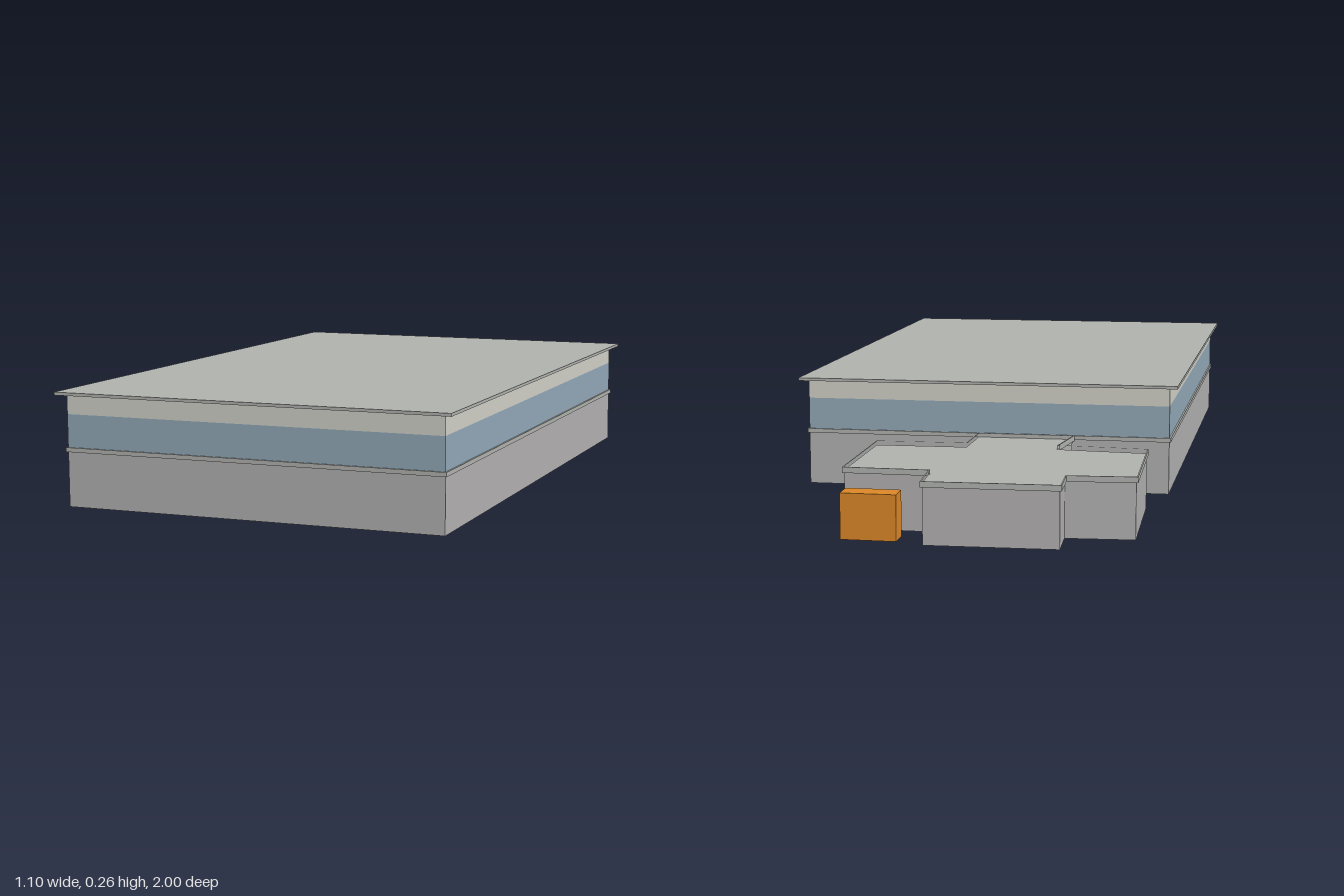
import * as THREE from 'three';

const mat = (name, color, side = THREE.FrontSide) => {
  const m = new THREE.MeshStandardMaterial({ color, side });
  m.name = name;
  return m;
};

// Moves a plan outline [x, z] outward by d, keeping its edges parallel.
function offset(pts, d) {
  const n = pts.length;
  const normal = (a, b) => new THREE.Vector2(b[1] - a[1], a[0] - b[0]).normalize();
  return pts.map((p, i) => {
    const n1 = normal(pts[(i + n - 1) % n], p);
    const n2 = normal(p, pts[(i + 1) % n]);
    const k = d / (1 + n1.dot(n2));
    return [p[0] + (n1.x + n2.x) * k, p[1] + (n1.y + n2.y) * k];
  });
}

// Upright wall sheets along a plan outline; skip leaves one edge open.
function walls(name, pts, y0, y1, material, skip = -1, closed = true) {
  const pos = [];
  const count = closed ? pts.length : pts.length - 1;
  for (let i = 0; i < count; i++) {
    if (i === skip) continue;
    const [ax, az] = pts[i];
    const [bx, bz] = pts[(i + 1) % pts.length];
    pos.push(bx, y0, bz, ax, y0, az, ax, y1, az);
    pos.push(bx, y0, bz, ax, y1, az, bx, y1, bz);
  }
  const geo = new THREE.BufferGeometry();
  geo.setAttribute('position', new THREE.Float32BufferAttribute(pos, 3));
  geo.computeVertexNormals();
  const mesh = new THREE.Mesh(geo, material);
  mesh.name = name;
  return mesh;
}

// Flat slab over a plan outline, with an optional opening.
function slab(name, pts, y0, y1, material, hole) {
  const plan = (list) => list.map(([x, z]) => new THREE.Vector2(x, -z));
  const shape = new THREE.Shape(plan(pts));
  if (hole) shape.holes.push(new THREE.Path(plan(hole)));
  const geo = new THREE.ExtrudeGeometry(shape, { depth: y1 - y0, bevelEnabled: false });
  geo.rotateX(-Math.PI / 2);
  geo.translate(0, y0, 0);
  const mesh = new THREE.Mesh(geo, material);
  mesh.name = name;
  return mesh;
}

export function createModel() {
  const grey = mat('wall grey', 0xb2b0b0, THREE.DoubleSide);
  const glass = mat('window blue', 0x92a8b7, THREE.DoubleSide);
  const cream = mat('upper wall cream', 0xd0d0c7, THREE.DoubleSide);
  const roof = mat('roof grey', 0xb0b2ae);
  const orange = mat('shed orange', 0xdb8728, THREE.DoubleSide);

  const model = new THREE.Group();
  model.name = 'building';

  // Main hall: grey base, window band, cream band and overhanging roof
  const hallPlan = [[-0.511, -0.342], [0.352, -0.47], [0.525, 0.841], [-0.352, 0.977]];
  const hall = new THREE.Group();
  hall.name = 'mainHall';
  hall.add(
    walls('hallLowerWalls', hallPlan, 0, 0.135, grey),
    slab('hallFloorSlab', offset(hallPlan, 0.004), 0.125, 0.135, roof),
    walls('hallWindowBand', hallPlan, 0.135, 0.21, glass),
    walls('hallUpperWalls', hallPlan, 0.21, 0.254, cream),
    slab('hallRoof', offset(hallPlan, 0.02), 0.254, 0.261, roof),
  );
  model.add(hall);

  // Low rear annex with a link to the hall and a thin raised roof rim
  const annexRoof = [
    [-0.42, -0.95], [-0.13, -1.0], [-0.105, -0.88], [0.083, -0.905],
    [0.131, -0.585], [-0.078, -0.55], [-0.062, -0.414], [-0.29, -0.38],
    [-0.29, -0.515], [-0.498, -0.502], [-0.549, -0.82], [-0.402, -0.85],
  ];
  const annexPlan = offset(annexRoof, -0.004);
  const annex = new THREE.Group();
  annex.name = 'rearAnnex';
  annex.add(
    walls('annexWalls', annexPlan, 0, 0.125, grey, 6),
    walls('linkGlass', [annexPlan[6], annexPlan[7]], 0, 0.125, glass, -1, false),
    slab('annexRoof', annexRoof, 0.123, 0.126, roof),
    slab('annexRoofRim', annexRoof, 0.126, 0.136, roof, offset(annexRoof, -0.003)),
  );
  model.add(annex);

  // Small shed beside the annex
  const shedPlan = [[-0.07, -0.982], [0.05, -0.998], [0.058, -0.946], [-0.062, -0.93]];
  const shed = new THREE.Group();
  shed.name = 'shed';
  shed.add(
    walls('shedWalls', shedPlan, 0, 0.096, orange),
    slab('shedRoof', shedPlan, 0.096, 0.1, orange),
  );
  model.add(shed);

  return model;
}
